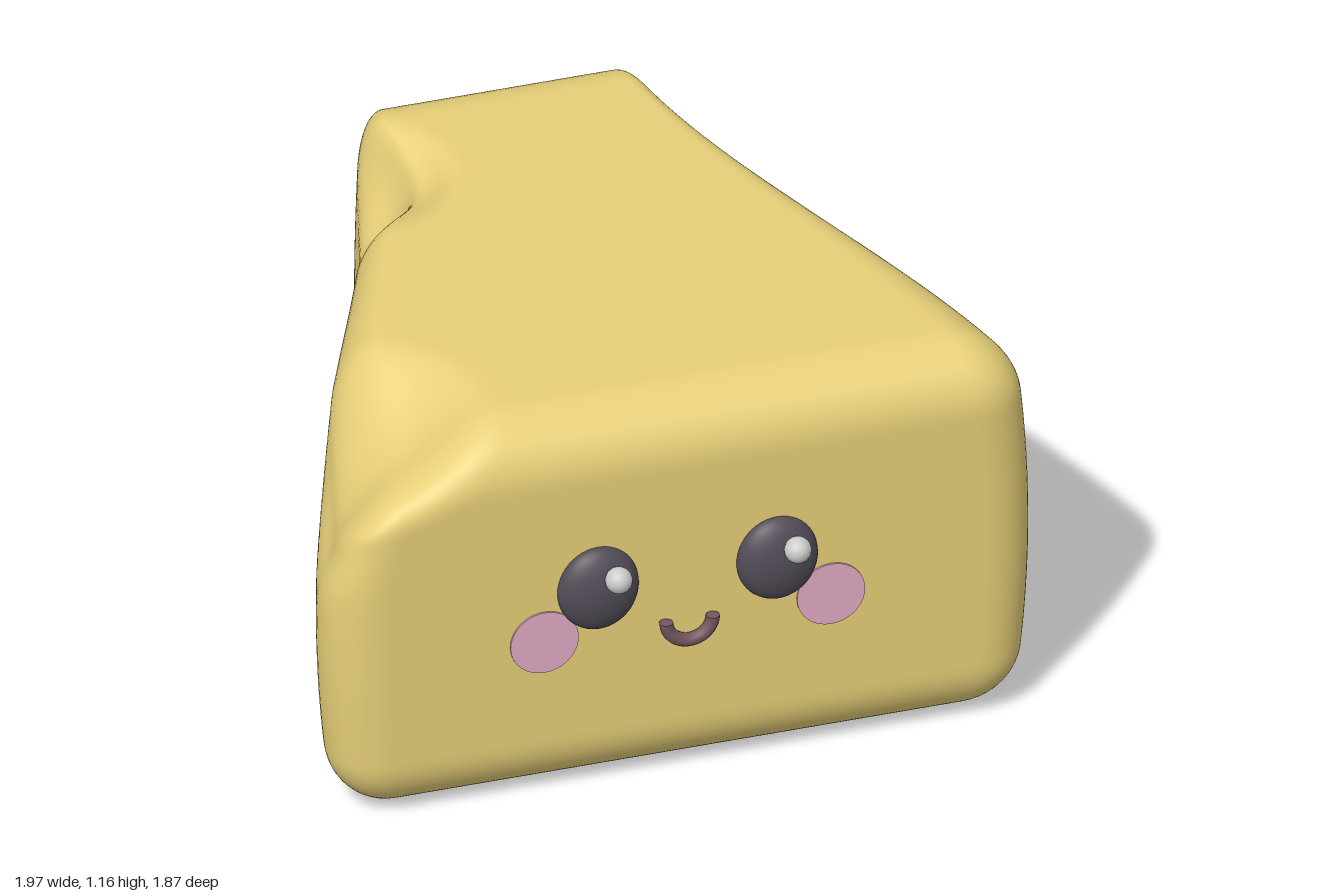
import * as THREE from 'three';
import { mergeVertices } from 'three/addons/utils/BufferGeometryUtils.js';

const H = 1.16, BACK = -0.94, FRONT = 0.83, R = 0.18;

// Dents: centre, radii of the affected ellipsoid, push vector
const dents = [
  // left side
  [[0.82, 0.77, 0.24], [0.4, 0.21, 0.32], [-0.11, 0, 0.03]],
  [[0.53, 0.2, -0.52], [0.4, 0.25, 0.38], [-0.08, 0.01, 0]],
  // back
  [[0.2, 0.52, -0.94], [0.17, 0.22, 0.35], [0, 0, 0.13]],
  [[-0.22, 0.8, -0.94], [0.15, 0.17, 0.35], [0.02, 0, 0.11]],
  [[-0.34, 0.45, -0.92], [0.2, 0.2, 0.3], [0.07, 0, 0.11]],
  // right side
  [[-0.66, 0.84, -0.17], [0.35, 0.16, 0.36], [0.07, 0, 0]],
  [[-0.66, 0.53, -0.17], [0.35, 0.19, 0.38], [0.08, 0, 0]],
  [[-0.46, 1.1, -0.53], [0.26, 0.26, 0.3], [0.09, -0.08, 0]],
  [[-0.46, 0.03, -0.58], [0.26, 0.24, 0.26], [0.08, 0.06, 0]],
  // top corner
  [[-0.92, 1.1, 0.6], [0.46, 0.5, 0.42], [0.04, -0.2, 0]],
];

// Rounded wedge, narrowing towards the back, with soft dents pressed in
function wedgeGeometry() {
  const length = FRONT - BACK;
  const box = new THREE.BoxGeometry(2, H, length, 64, 48, 70);
  box.deleteAttribute('uv');
  box.deleteAttribute('normal');
  const geometry = mergeVertices(box);
  const pos = geometry.attributes.position;
  const half = new THREE.Vector3(1 - R, H / 2 - R, length / 2 - R);
  const p = new THREE.Vector3(), core = new THREE.Vector3(), move = new THREE.Vector3();
  for (let i = 0; i < pos.count; i++) {
    p.fromBufferAttribute(pos, i);
    core.copy(p).clamp(half.clone().negate(), half);
    p.sub(core).setLength(R).add(core);
    const bulge = 1 - 0.045 * (p.y / (H / 2)) ** 2;
    p.y += H / 2;
    p.z += (FRONT + BACK) / 2;
    p.x *= bulge * (0.72 + 0.33 * Math.sin(1.4 * p.z));
    move.set(0, 0, 0);
    for (const [c, r, push] of dents) {
      const d = ((p.x - c[0]) / r[0]) ** 2 + ((p.y - c[1]) / r[1]) ** 2 + ((p.z - c[2]) / r[2]) ** 2;
      if (d < 1) move.addScaledVector(new THREE.Vector3(...push), (1 - d) ** 2);
    }
    p.add(move);
    pos.setXYZ(i, p.x, p.y, p.z);
  }
  geometry.computeVertexNormals();
  return geometry;
}

export function createModel() {
  const group = new THREE.Group();
  const material = (color) => new THREE.MeshStandardMaterial({ color });
  const yellow = material(0xe6cf78), dark = material(0x524c57);
  const pink = material(0xe0aac4), brown = material(0x73565f), grey = material(0xcccccc);

  const add = (name, geometry, mat, x, y, z) => {
    const mesh = new THREE.Mesh(geometry, mat);
    mesh.name = name;
    mesh.position.set(x, y, z);
    group.add(mesh);
    return mesh;
  };

  add('wedgeBody', wedgeGeometry(), yellow, 0, 0, 0);

  // Eyes, glints and cheeks
  const eye = new THREE.SphereGeometry(1, 32, 24).scale(0.113, 0.127, 0.06);
  const glint = new THREE.SphereGeometry(0.037, 20, 14);
  const cheek = new THREE.CylinderGeometry(0.095, 0.095, 0.006, 40).rotateX(Math.PI / 2);
  for (const [side, s] of [['left', 1], ['right', -1]]) {
    add(side + 'Eye', eye, dark, s * 0.25, 0.645, FRONT);
    add(side + 'EyeGlint', glint, grey, s * 0.25 + 0.038, 0.7, 0.896);
    add(side + 'Cheek', cheek, pink, s * 0.4, 0.5, FRONT + 0.002);
  }

  // Smile: lower half ring with closed ends
  const smile = new THREE.TorusGeometry(0.065, 0.019, 14, 32, Math.PI).rotateZ(Math.PI);
  add('mouth', smile, brown, 0, 0.508, 0.849);
  const cap = new THREE.CircleGeometry(0.019, 14).rotateX(-Math.PI / 2);
  for (const s of [1, -1]) add('mouthEnd', cap, brown, s * 0.065, 0.508, 0.849);

  return group;
}
